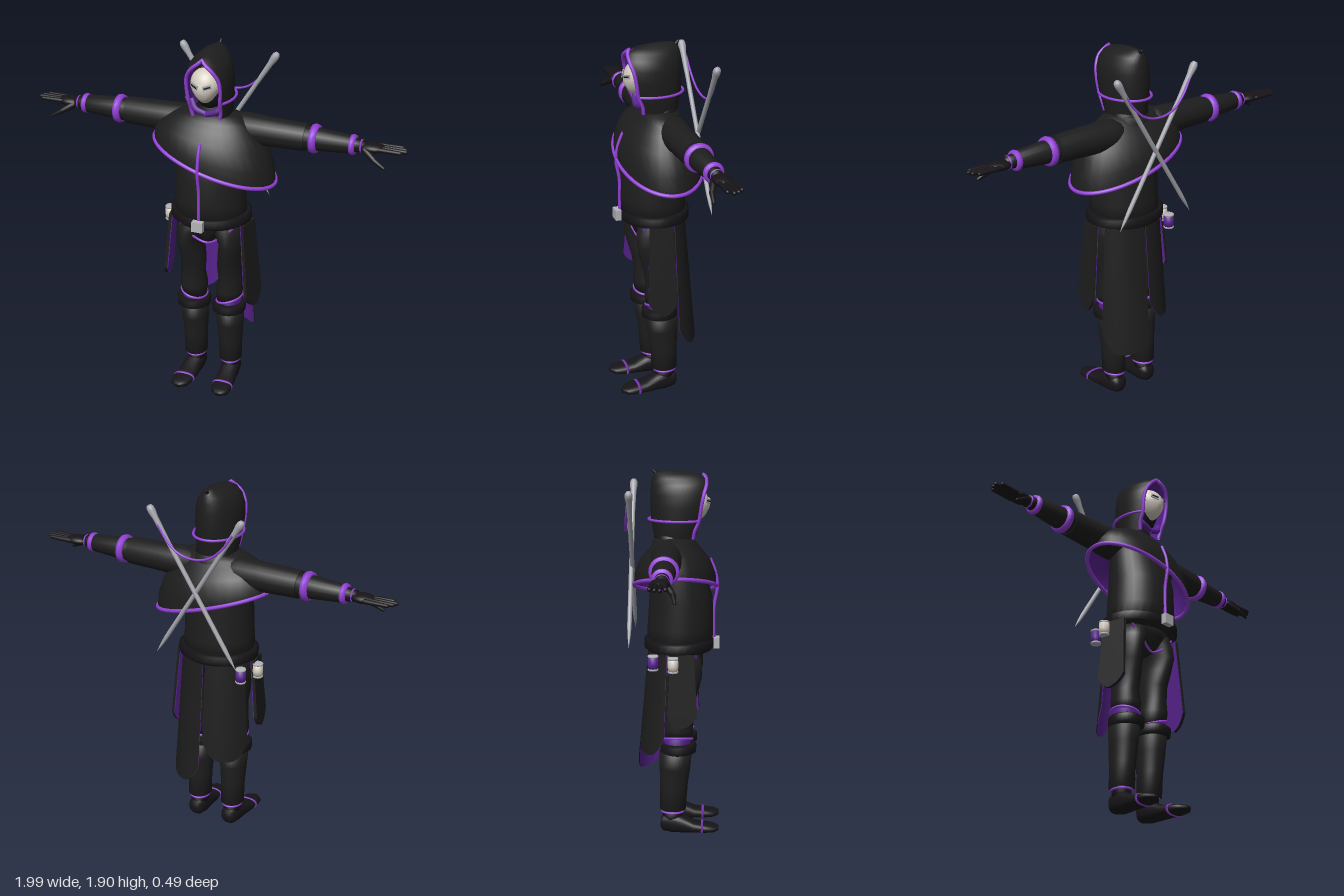
import * as THREE from 'three';
import { mergeVertices } from 'three/addons/utils/BufferGeometryUtils.js';

const V = (x, y, z) => new THREE.Vector3(x, y, z);
const mat = (name, color) => Object.assign(new THREE.MeshStandardMaterial({ color, side: THREE.DoubleSide }), { name });

// Ellipse ring at height y, starting at the front and going toward +x
function ring(y, rx, zf, zb, cx = 0, a = 0, n = 32) {
  const c = (zf + zb) / 2, rz = (zf - zb) / 2;
  return Array.from({ length: n + 1 }, (_, i) => {
    const t = a + (2 * Math.PI - 2 * a) * i / n;
    return V(cx + rx * Math.sin(t), y, c + rz * Math.cos(t));
  });
}

// Skin through rows of points; flip reverses the facing
function loft(rows, flip = false, cap = false) {
  if (cap) {
    const mid = r => { const m = r.slice(1).reduce((s, p) => s.add(p), V(0, 0, 0)).divideScalar(r.length - 1); return r.map(() => m); };
    rows = [mid(rows[0]), ...rows, mid(rows[rows.length - 1])];
  }
  const n = rows[0].length, idx = [];
  for (let i = 0; i < rows.length - 1; i++) for (let j = 0; j < n - 1; j++) {
    const a = i * n + j, b = a + 1, c = a + n + 1, d = a + n;
    idx.push(...(flip ? [a, c, b, a, d, c] : [a, b, c, a, c, d]));
  }
  const g = new THREE.BufferGeometry().setFromPoints(rows.flat());
  g.setIndex(idx);
  const m = mergeVertices(g, 1e-5);
  m.computeVertexNormals();
  return m;
}

export function createModel() {
  const root = new THREE.Group();
  root.name = 'hoodedFighter';
  const black = mat('blackCloth', 0x1d1d1d), dark = mat('darkLeather', 0x161417), purple = mat('purpleTrim', 0x9340d8),
    lining = mat('purpleLining', 0x5a2492), bone = mat('boneMask', 0xd4cdc0), steel = mat('steel', 0xa3a5ab),
    silver = mat('silver', 0xb4b5b8);

  const add = (name, geo, m, parent = root) => {
    const o = new THREE.Mesh(geo, m);
    o.name = name;
    parent.add(o);
    return o;
  };
  const tube = (name, pts, r, m = purple, closed = false) =>
    add(name, new THREE.TubeGeometry(new THREE.CatmullRomCurve3(pts, closed), closed ? 96 : 40, r, 8, closed), m);
  // Cloth with a lining set slightly inside it
  const cloth = (name, rows, flip) => {
    add(name, loft(rows, flip), black);
    const g = loft(rows, !flip), p = g.attributes.position, n = g.attributes.normal;
    for (let i = 0; i < p.count; i++)
      p.setXYZ(i, p.getX(i) + n.getX(i) * .004, p.getY(i) + n.getY(i) * .004, p.getZ(i) + n.getZ(i) * .004);
    add(name + 'Lining', g, lining);
  };
  // Turned part along the segment a-b; profile is [radius, distance] pairs
  const turned = (name, a, b, prof, m) => {
    const o = add(name, new THREE.LatheGeometry(prof.map(p => new THREE.Vector2(...p)), 20), m);
    o.position.copy(a);
    o.quaternion.setFromUnitVectors(V(0, 1, 0), b.clone().sub(a).normalize());
    return o;
  };
  const rod = (name, a, b, r0, r1, m) => {
    const L = a.distanceTo(b);
    return turned(name, a, b, [[0, -r0], [r0 * .7, -r0 * .7], [r0, 0], [r1, L - r1], [r1 * .7, L - r1 * .3], [0, L]], m);
  };

  // Torso, belt and hips
  add('torso', loft([[.98, .19, .2, -.14], [1.1, .185, .205, -.135], [1.25, .18, .2, -.125], [1.4, .17, .16, -.12],
    [1.5, .14, .09, -.115], [1.56, .1, .07, -.1]].map(r => ring(...r)), false, true), black);
  add('belt', loft([[.985, .2, .195, -.14], [.992, .213, .208, -.152], [1.032, .213, .208, -.152], [1.04, .2, .195, -.14]]
    .map(r => ring(...r)), false, true), dark);
  add('buckle', new THREE.BoxGeometry(.058, .055, .03), silver).position.set(0, 1.01, .222);
  add('hips', loft([[.86, .025, .1, 0], [.9, .07, .13, -.07], [.95, .13, .15, -.1], [1, .17, .16, -.11]]
    .map(r => ring(...r)), false, true), black);
  tube('hipPiping', [V(-.15, .975, .115), V(-.085, .91, .125), V(0, .865, .112), V(.085, .91, .125), V(.15, .975, .115)], .006);

  // Slanted shoulder cape with its trimmed hem
  const capeRow = ([f, sx, sz]) => ring(0, .32, .22, -.205).map(p =>
    V(p.x * sx + .01 * f, 1.565 - f * (.26 + .295 * p.x), .008 + (p.z - .008) * sz));
  const capeRows = [[0, .3, .3], [.04, .5, .42], [.12, .6, .5], [.25, .72, .63], [.45, .87, .84], [.75, .98, .98], [1, 1, 1]].map(capeRow);
  cloth('cape', capeRows, true);
  tube('capeHem', capeRows[6].slice(0, -1), .0105, purple, true);
  tube('frontSeam', [V(0, 1.035, .207), V(0, 1.2, .208), V(0, 1.3, .224), V(0, 1.38, .214), V(0, 1.45, .187)], .0085);

  // Neck and hood, open at the face
  add('neck', loft([[1.53, .11, .08, -.1], [1.57, .1, .08, -.1], [1.61, .075, .075, -.08]].map(r => ring(...r)), false, true), dark);
  const hoodRows = [[1.56, .1, .135, -.1, .8], [1.6, .106, .15, -.106, .85], [1.65, .11, .178, -.115, .85], [1.72, .113, .2, -.118, .9],
    [1.78, .111, .205, -.118, .84], [1.83, .098, .19, -.115, .58], [1.862, .075, .165, -.108, .2], [1.882, .05, .125, -.1, 0],
    [1.897, .015, .05, -.07, 0]].map(([y, rx, zf, zb, a]) => ring(y, rx, zf, zb, 0, a));
  hoodRows.push(hoodRows[8].map(() => V(0, 1.899, -.01)));
  cloth('hood', hoodRows, false);
  const edge = hoodRows.slice(0, 7);
  tube('hoodTrim', [...edge.map(r => r[0]), V(0, 1.877, .15), ...edge.map(r => r[32]).reverse()], .0095);
  tube('hoodStrap', ring(1.652, .119, .178, -.127, 0, .87), .007);
  rod('hoodTip', V(0, 1.87, -.08), V(0, 1.903, -.108), .012, .006, dark);
  for (const s of [-1, 1])
    tube('scarfFold', [V(s * .085, 1.64, .085), V(s * .055, 1.6, .105), V(0, 1.578, .105)], .016, lining);

  // Head and mask
  const head = add('head', new THREE.SphereGeometry(1, 24, 16), dark);
  head.scale.set(.092, .135, .1);
  head.position.set(0, 1.72, .03);
  const mg = new THREE.SphereGeometry(1, 32, 24), mp = mg.attributes.position;
  for (let i = 0; i < mp.count; i++) {
    const x = mp.getX(i), y = mp.getY(i);
    const ridge = Math.abs(x) < .15 && y < .2 && y > -.35 ? .005 : 0;
    mp.setXYZ(i, x * (1 + (y < 0 ? .35 : .15) * y) * .076, y * .09, mp.getZ(i) * (.078 + ridge));
  }
  mg.computeVertexNormals();
  add('mask', mg, bone).position.set(0, 1.73, .1);
  for (const s of [-1, 1]) for (const [name, w, h, z, m] of [['eyeRim', .044, .021, .1735, steel], ['eye', .034, .007, .1765, dark]]) {
    const e = add(name, new THREE.BoxGeometry(w, h, .006), m);
    e.position.set(s * .034, 1.747, z);
    e.rotation.set(-.1, s * .45, s * .3);
  }

  for (const s of [-1, 1]) {
    const P = (x, y, z) => V(s * x, y, z);
    const along = (name, x0, prof, m) => turned(name, P(x0, 1.478, -.027), P(x0 + 1, 1.478, -.027), prof, m);

    // Arm
    along('sleeve', .06, [[0, 0], [.07, 0], [.082, .1], [.076, .22], [.07, .42], [.055, .42], [0, .41]], black);
    along('forearm', .46, [[.058, 0], [.06, .06], [.046, .25], [0, .255]], black);
    along('elbowBand', .506, [[.052, 0], [.07, .002], [.075, .019], [.07, .036], [.052, .038]], purple);
    along('wristBand', .705, [[.04, 0], [.048, .002], [.052, .014], [.048, .027], [.03, .029]], purple);
    along('wrist', .73, [[.036, 0], [.03, .05], [0, .055]], dark);
    along('gloveBand', .755, [[.024, 0], [.034, .004], [.034, .011], [.024, .015]], purple);

    // Hand
    const palm = add('palm', new THREE.SphereGeometry(1, 20, 14), dark);
    palm.scale.set(.065, .024, .046);
    palm.position.copy(P(.815, 1.477, -.032));
    [.965, .985, .993, .97].forEach((x, i) => {
      const z = -.072 + i * .024;
      rod('finger', P(.84, 1.478, z * .85 - .008), P(x, 1.48, z - .002), .013, .01, dark);
    });
    rod('thumb', P(.785, 1.468, -.005), P(.85, 1.43, .03), .019, .014, dark);
    rod('thumbTip', P(.84, 1.435, .026), P(.9, 1.402, .038), .014, .008, dark);

    // Leg with a lined knee under a trimmed thigh guard
    add('kneeLining', loft([[.46, .064, .092, -.05], [.56, .062, .09, -.048]]
      .map(([y, rx, zf, zb]) => ring(y, rx, zf, zb, s * .1)), false, true), lining);
    const thigh = [[.53, .066, .1, -.055, .1], [.57, .072, .106, -.055, .1], [.63, .062, .1, -.055, .105], [.71, .062, .112, -.06, .1],
      [.79, .062, .135, -.07, .108], [.86, .06, .15, -.08, .117], [.92, .072, .15, -.08, .103], [.98, .075, .13, -.09, .09]]
      .map(([y, rx, zf, zb, x]) => ring(y, rx, zf, zb, s * x));
    // Lower edge dips toward the inner front
    for (const p of thigh[0]) p.y += (Math.abs(p.x) - .1) * .3 - .015;
    add('thigh', loft(thigh, false, true), black);
    tube('kneePiping', thigh[0].slice(0, -1), .007, purple, true);

    // Boot and foot
    add('bootShaft', loft([[.13, .06, .068, -.068, .1], [.25, .062, .075, -.068, .1], [.36, .07, .09, -.07, .1], [.45, .076, .1, -.07, .1]]
      .map(([y, rx, zf, zb, x]) => ring(y, rx, zf, zb, s * x)), false, true), black);
    add('bootCuff', loft([[.44, .076, .105, -.06], [.448, .088, .12, -.066], [.485, .09, .122, -.066], [.495, .08, .11, -.06]]
      .map(([y, rx, zf, zb]) => ring(y, rx, zf, zb, s * .099)), false, true), dark);
    add('ankle', loft([ring(.08, .046, .05, -.055, s * .1), ring(.135, .046, .05, -.055, s * .1)], false, true), dark);
    tube('ankleBand', ring(.118, .049, .055, -.058, s * .1).slice(0, -1), .006, purple, true);
    const section = ([z, w, y0, y1]) => Array.from({ length: 25 }, (_, i) => {
      const t = i / 24 * 2 * Math.PI, q = Math.cos(t), u = Math.sin(t);
      return V(s * (.1 + .07 * Math.max(0, z)) + w * Math.sign(q) * Math.abs(q) ** .8,
        (y0 + y1) / 2 + (y1 - y0) / 2 * Math.sign(u) * Math.abs(u) ** .8, z);
    });
    add('foot', loft([[-.064, .025, .025, .075], [-.05, .042, .01, .1], [0, .05, 0, .112], [.05, .05, .002, .095], [.11, .053, .006, .066],
      [.17, .055, .008, .058], [.215, .047, .012, .05], [.24, .02, .02, .042]].map(section), false, true), dark);
    add('toeBand', loft([[.148, .057, .005, .064], [.16, .057, .005, .063]].map(section), false, true), purple);

    // Split coat tail, longer on the left
    const yb = s > 0 ? .285 : .44;
    const tail = Array.from({ length: 17 }, (_, i) => Array.from({ length: 17 }, (_, j) => {
      const v = j / 8 - 1, a = .035 + 1.2 * j / 16;
      const drop = i / 16 * (1 - yb - .11 * Math.abs(v) ** 3), k = drop / .65;
      return P((.19 + .043 * k) * Math.sin(a), 1 - drop, .02 - (.15 + .058 * k) * Math.cos(a));
    }));
    cloth('coatTail', tail, s < 0);

    // Hanging side panel, turned slightly to the front and lined inside
    const drop = s > 0 ? .47 : .37;
    const sh = new THREE.Shape().moveTo(-.1, 0).lineTo(.02, 0).lineTo(.035, -drop * .85)
      .quadraticCurveTo(.01, -drop, -.035, -drop - .01).quadraticCurveTo(-.09, -drop, -.12, -drop * .85);
    const plate = depth => new THREE.ExtrudeGeometry(sh, { depth, bevelEnabled: false, curveSegments: 10 });
    const panel = add('sidePanel', plate(.016), black);
    panel.rotation.set(0, Math.PI / 2 - s * .17, s * .085, 'ZYX');
    panel.position.set(s * .214 - .008, .99, .01);
    add('sidePanelLining', plate(.004), lining, panel).position.z = s > 0 ? -.004 : .016;

    // Crossed sword on the back
    const z = -.215 - s * .003;
    turned('sword', P(-.232, 1.03, z), P(.258, 1.82, z),
      [[0, 0], [.008, .06], [.0115, .12], [.0115, .5], [.012, .68], [.011, .72], [.015, .86], [.02, .895], [.019, .915], [.012, .928], [0, .93]], steel);
  }

  // Cord slung between the sword grips
  tube('swordCord', [V(-.21, 1.745, -.225), V(-.16, 1.67, -.232), V(-.09, 1.61, -.238), V(0, 1.59, -.241), V(.09, 1.61, -.238),
    V(.16, 1.67, -.232), V(.21, 1.745, -.225)], .006);

  // Belt vials
  for (const [x, z, m] of [[-.24, .005, bone], [-.195, -.098, lining]]) {
    const base = V(x, .91, z), up = V(x, 2, z);
    turned('vial', base, up, [[0, 0], [.024, .002], [.028, .03], [.026, .066], [0, .068]], m);
    for (const y of [-.004, .064]) turned('vialCap', base.clone().setY(.91 + y), up, [[0, 0], [.026, 0], [.028, .005], [.026, .01], [0, .01]], silver);
  }
  return root;
}
